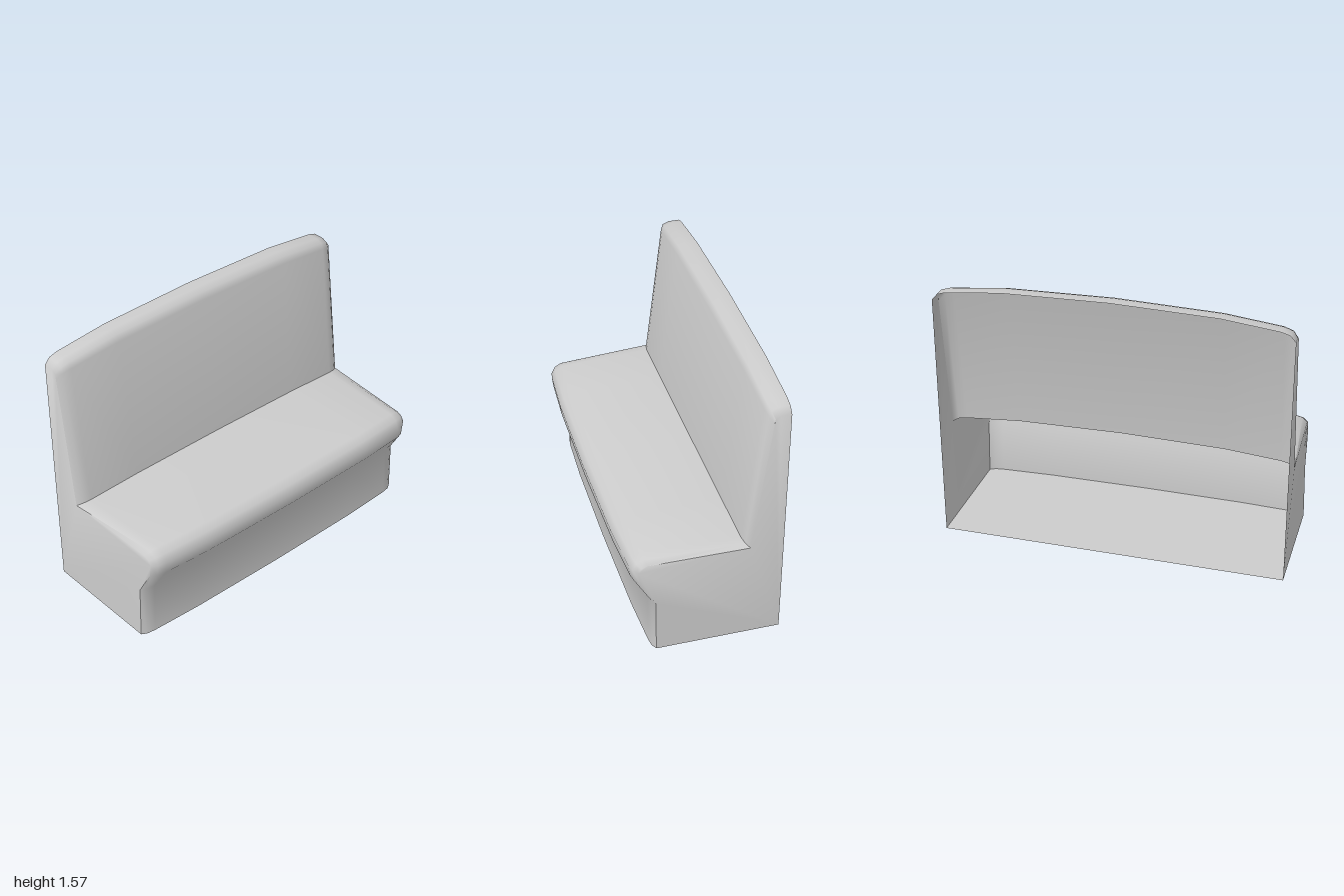
import * as THREE from 'three';
import { toCreasedNormals } from 'three/addons/utils/BufferGeometryUtils.js';

// Profile of the bench, from the top of the back, over the seat, to the floor.
// [x, y] in the middle, [bow] shift near the ends, [rim] extra shift at the side panels
const PROFILE = [
  { p: [-0.43, 1.565], bow: [0, -0.05], rim: [0, -0.05] },
  { p: [-0.36, 1.565], bow: [0, -0.05], rim: [-0.01, -0.05] },
  { p: [-0.32, 1.55], bow: [-0.003, -0.05], rim: [-0.02, -0.05] },
  { p: [-0.303, 1.51], bow: [-0.006, -0.045], rim: [-0.03, -0.045] },
  { p: [-0.2, 0.663], bow: [-0.013, -0.03], rim: [-0.03, -0.018] },
  { p: [0.36, 0.632], bow: [-0.02, 0], rim: [-0.02, -0.03] },
  { p: [0.405, 0.608], bow: [-0.022, 0], rim: [-0.03, -0.02] },
  { p: [0.43, 0.56], bow: [-0.025, 0], rim: [-0.035, 0] },
  { p: [0.42, 0.485], bow: [-0.025, 0], rim: [-0.035, 0] },
  { p: [0.322, 0.33], bow: [-0.02, 0], rim: [-0.025, 0] },
  { p: [0.322, 0], bow: [-0.02, 0], rim: [-0.025, 0] },
  { p: [-0.43, 0], bow: [0, 0], rim: [0, 0] },
];

// Cross-sections along the length: [z, bow amount, rim amount]
const HALF = [[0.6, 0.3, 0], [0.92, 1, 0], [0.97, 1, 0.3], [1, 1, 1]];
const STATIONS = [
  ...HALF.map(([z, b, r]) => [-z, b, r]).reverse(),
  [0, 0, 0],
  ...HALF,
];

function sectionPoint({ p, bow, rim }, [z, b, r]) {
  const x = p[0] + bow[0] * b + rim[0] * r;
  const y = p[1] + bow[1] * b + rim[1] * r;
  // side panels taper towards the seat front
  const forward = Math.max(0, x + 0.2) / 0.57;
  const taper = Math.abs(z) > 0.9 ? forward * (0.012 + 0.03 * Math.min(y, 0.6)) : 0;
  return [x, y, z - Math.sign(z) * taper];
}

function shellGeometry() {
  const n = PROFILE.length;
  const positions = STATIONS.flatMap((s) => PROFILE.flatMap((q) => sectionPoint(q, s)));
  const index = [];

  // back front, seat, base and floor panel; the rear stays open
  for (let s = 0; s < STATIONS.length - 1; s++) {
    for (let i = 0; i < n - 1; i++) {
      const a = s * n + i, b = a + 1, c = a + n, d = c + 1;
      index.push(a, c, b, b, c, d);
    }
  }

  // side panels
  const last = (STATIONS.length - 1) * n;
  const order = PROFILE.map((_, i) => n - 1 - i);
  const outline = order.map((i) => {
    const [x, y] = sectionPoint(PROFILE[i], STATIONS[STATIONS.length - 1]);
    return new THREE.Vector2(x, y);
  });
  for (const face of THREE.ShapeUtils.triangulateShape(outline, [])) {
    const [a, b, c] = face.map((k) => order[k]);
    index.push(last + a, last + b, last + c, a, c, b);
  }

  const geometry = new THREE.BufferGeometry();
  geometry.setAttribute('position', new THREE.Float32BufferAttribute(positions, 3));
  geometry.setIndex(index);
  return toCreasedNormals(geometry, 1.0);
}

export function createModel() {
  const group = new THREE.Group();
  group.name = 'boothBench';
  const material = new THREE.MeshStandardMaterial({ color: 0xcccccc, side: THREE.DoubleSide });
  const bench = new THREE.Mesh(shellGeometry(), material);
  bench.name = 'benchShell';
  group.add(bench);
  return group;
}
